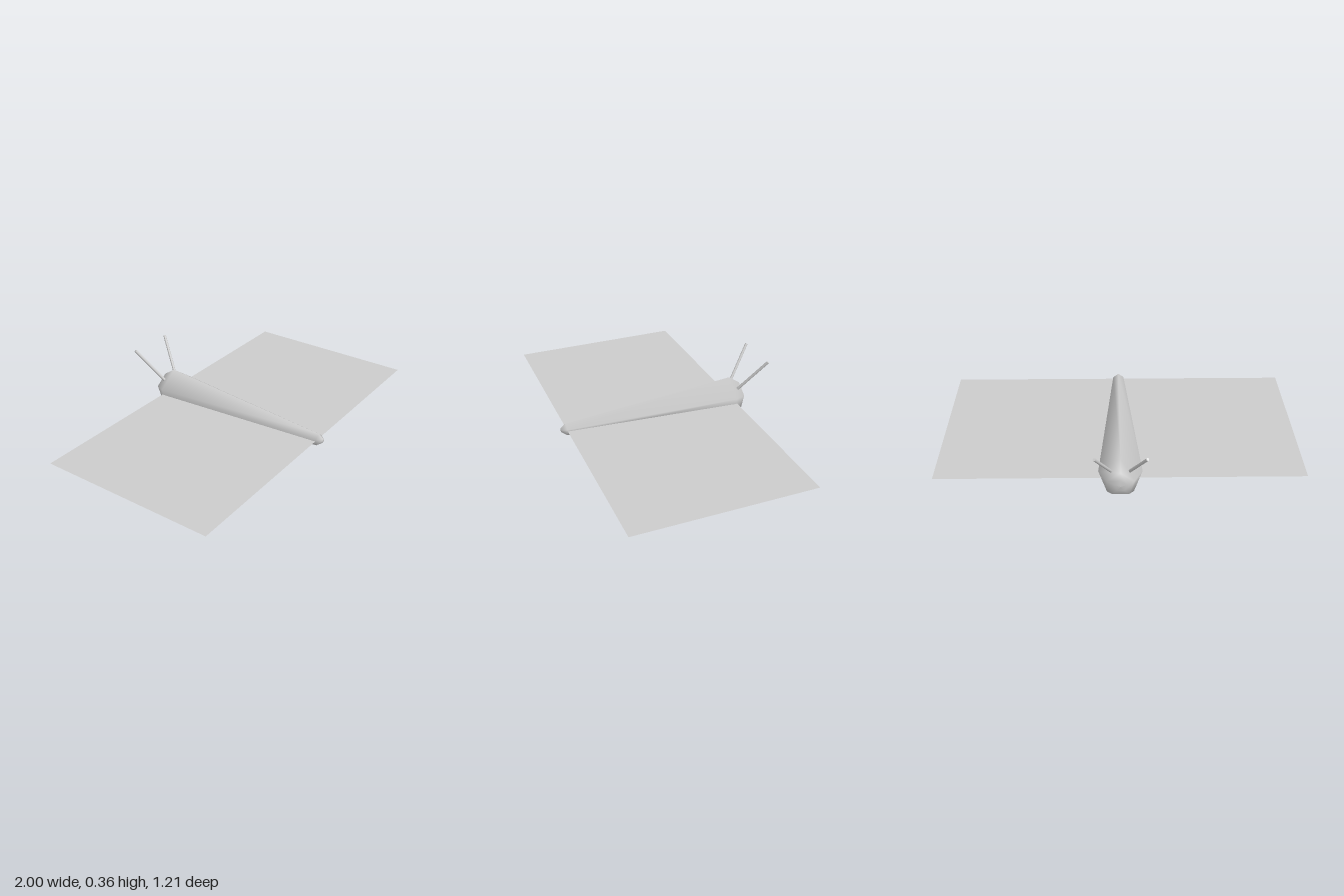
import * as THREE from 'three';

export function createModel() {
  const model = new THREE.Group();
  const grey = new THREE.MeshStandardMaterial({ color: 0xcccccc });
  const thin = new THREE.MeshStandardMaterial({ color: 0xcccccc, side: THREE.DoubleSide });
  const axisY = 0.104;

  const add = (name, geometry, material = grey) => {
    const mesh = new THREE.Mesh(geometry, material);
    mesh.name = name;
    model.add(mesh);
    return mesh;
  };

  // Five-sided tapered body, one corner up: [radius, z] from blunt head to slim tail
  const profile = [
    [0, -0.506], [0.035, -0.502], [0.077, -0.489], [0.124, -0.42],
    [0.034, 0.575], [0.012, 0.603], [0, 0.604],
  ].map(([r, z]) => new THREE.Vector2(r, z));
  const body = new THREE.LatheGeometry(profile, 5, Math.PI).rotateX(Math.PI / 2);
  add('body', body).position.y = axisY;

  for (const [side, s] of [['left', 1], ['right', -1]]) {
    // Flat square wing, hinged on the body axis
    const wing = new THREE.PlaneGeometry(1, 1).rotateX(-Math.PI / 2);
    add(side + 'Wing', wing, thin).position.set(s * 0.5, axisY, 0.072);

    // Straight antenna leaning up, out and back from the head
    const base = new THREE.Vector3(s * 0.05, 0.17, -0.455);
    const tip = new THREE.Vector3(s * 0.133, 0.355, -0.597);
    const path = tip.clone().sub(base);
    const antenna = add(side + 'Antenna', new THREE.CylinderGeometry(0.008, 0.008, path.length(), 8));
    antenna.position.copy(base).add(tip).multiplyScalar(0.5);
    antenna.quaternion.setFromUnitVectors(new THREE.Vector3(0, 1, 0), path.normalize());
  }

  return model;
}
